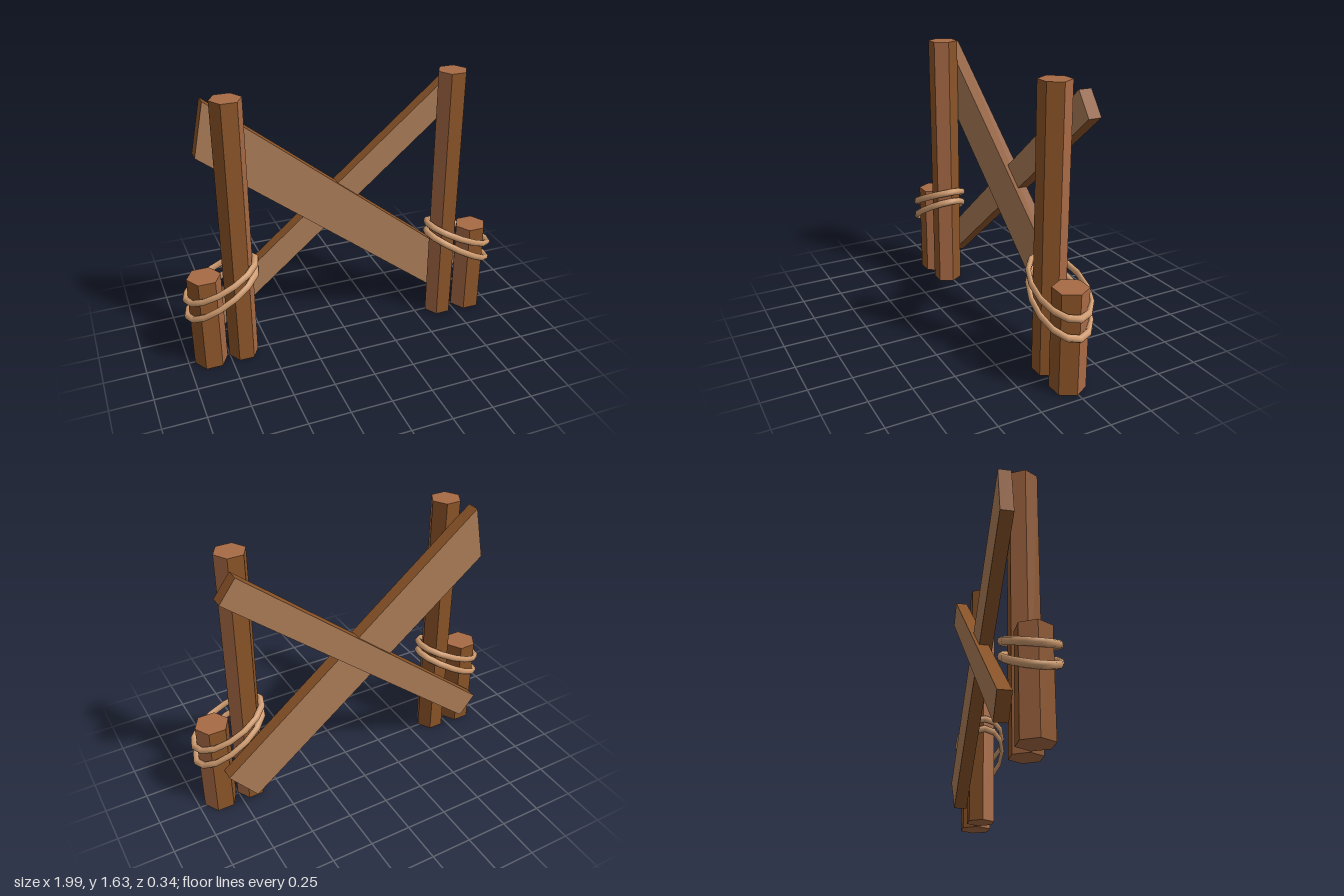
import * as THREE from 'three';

const mat = (name, color, side = THREE.FrontSide) => {
  const m = new THREE.MeshStandardMaterial({ color, side });
  m.name = name;
  return m;
};

export function createModel() {
  const brown = mat('brown wood', 0x8b5429);
  const red = mat('reddish wood', 0xa86a45);
  const tan = mat('plank wood', 0xab7b56);
  const rope = mat('rope', 0xd09c70);

  const model = new THREE.Group();
  const add = (parent, name, geometry, material) => {
    const mesh = new THREE.Mesh(geometry, material);
    mesh.name = name;
    parent.add(mesh);
    return mesh;
  };

  // Hexagonal post with reddish ends and two opposite reddish sides
  function post(radius, height, redSides) {
    const g = new THREE.CylinderGeometry(radius, radius, height, 6, 1, false, Math.PI / 2).toNonIndexed();
    g.computeVertexNormals();
    g.clearGroups();
    for (let i = 0; i < 6; i++) g.addGroup(i * 6, 6, redSides.includes(i) ? 1 : 0);
    g.addGroup(36, 36, 1);
    return g.translate(0, height / 2, 0);
  }

  // Flat board from its four corners, leaning in z along x
  function plank(corners, back, depth, lean) {
    const shape = new THREE.Shape(corners.map(([x, y]) => new THREE.Vector2(x, y)));
    const g = new THREE.ExtrudeGeometry(shape, { depth, bevelEnabled: false });
    const p = g.attributes.position;
    for (let i = 0; i < p.count; i++) p.setZ(i, p.getZ(i) + back + lean * p.getX(i));
    g.computeVertexNormals();
    return g;
  }

  // Posts and rope lashings on each side
  for (const s of [-1, 1]) {
    const side = new THREE.Group();
    side.name = s < 0 ? 'rightPosts' : 'leftPosts';
    const redSides = s < 0 ? [2, 5] : [0, 3];
    add(side, 'tallPost', post(0.09, 1.63, redSides), [brown, red]).position.set(s * 0.663, 0, 0.008);
    add(side, 'shortPost', post(0.1, 0.59, redSides), [brown, red]).position.set(s * 0.864, 0, 0.008);

    // Two tilted oval loops: centre height, half length, tilt in degrees
    for (const [y, half, tilt] of [[0.557, 0.23, 24.5], [0.467, 0.24, 30]]) {
      const g = new THREE.TorusGeometry(1, 0.09, 8, 14).rotateX(Math.PI / 2).scale(half, 0.24, 0.147);
      const loop = add(side, 'ropeLoop', g, rope);
      loop.position.set(s * 0.767, y, 0.014);
      loop.rotation.z = -s * THREE.MathUtils.degToRad(tilt);
    }
    model.add(side);
  }

  // Crossed planks behind the posts
  add(model, 'widePlank', plank(
    [[-0.835, 1.285], [0.684, 0.09], [0.85, 0.297], [-0.77, 1.6]], -0.153, 0.077, -0.004), [tan, brown]);
  add(model, 'narrowPlank', plank(
    [[-0.78, 0.125], [0.81, 1.445], [0.714, 1.575], [-0.88, 0.25]], -0.173, 0.075, 0.001), [tan, brown]);

  return model;
}
